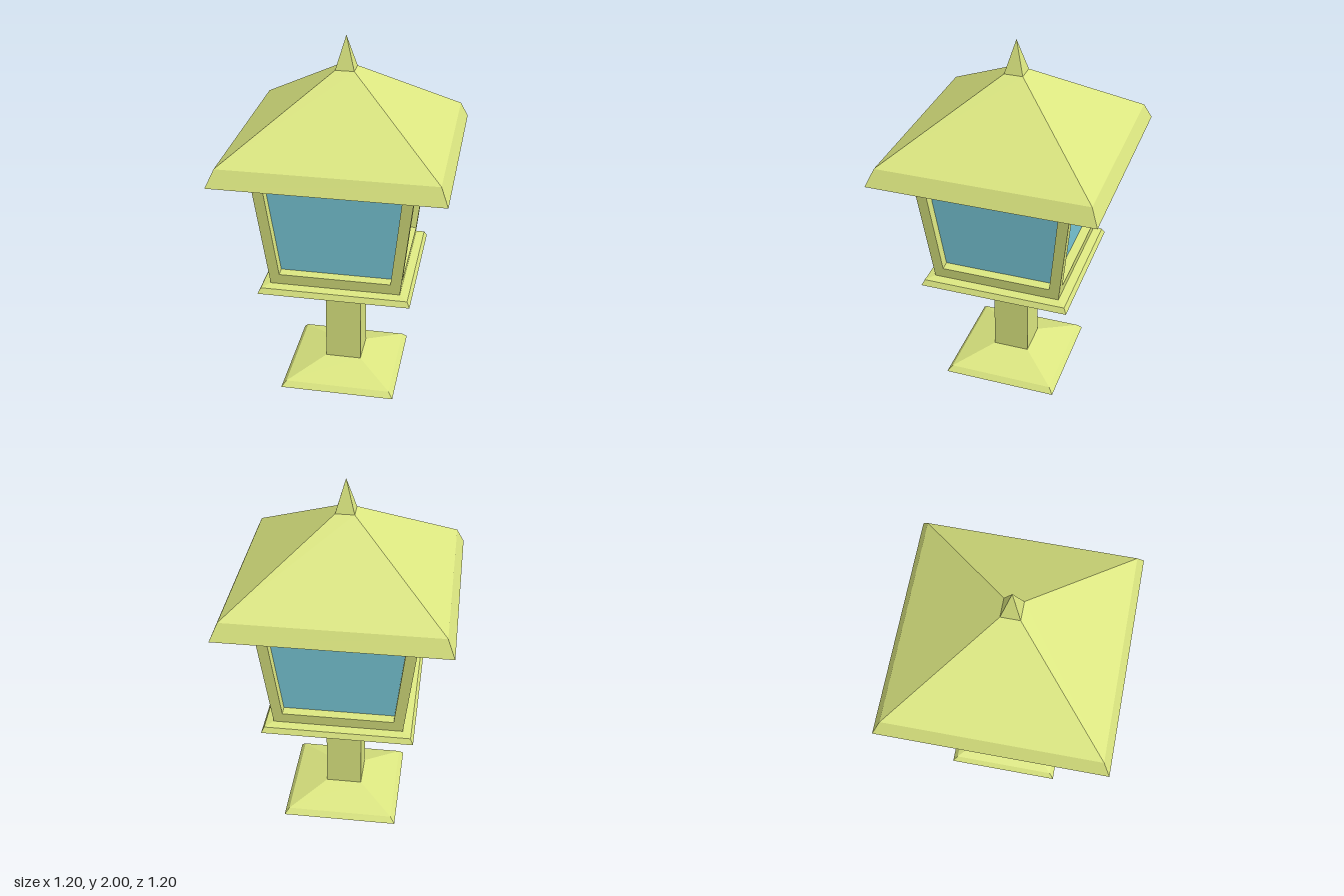
import * as THREE from 'three';

const paint = new THREE.MeshStandardMaterial({ color: 0xdbe680, flatShading: true, side: THREE.DoubleSide });
const blue = new THREE.MeshStandardMaterial({ color: 0x7dd0e0, flatShading: true, side: THREE.DoubleSide });

// Skins a series of four-cornered rings with flat quads
function loft(rings) {
  const pos = [];
  for (let r = 0; r + 1 < rings.length; r++) {
    for (let i = 0; i < 4; i++) {
      const j = (i + 1) % 4;
      const a = rings[r][i], b = rings[r][j], c = rings[r + 1][j], d = rings[r + 1][i];
      pos.push(...a, ...b, ...c, ...a, ...c, ...d);
    }
  }
  const geometry = new THREE.BufferGeometry();
  geometry.setAttribute('position', new THREE.Float32BufferAttribute(pos, 3));
  geometry.computeVertexNormals();
  return geometry;
}

// Horizontal square ring of half-width r at height y
const square = ([r, y]) => [[-r, y, r], [r, y, r], [r, y, -r], [-r, y, -r]];

function part(name, geometry, material = paint) {
  const mesh = new THREE.Mesh(geometry, material);
  mesh.name = name;
  return mesh;
}

const stack = (name, profile) => part(name, loft(profile.map(square)));

// Lantern walls lean outward from the bottom to the top
const BOTTOM = 0.71, TOP = 1.37, R_BOTTOM = 0.35, R_TOP = 0.425;
const LEAN = (R_TOP - R_BOTTOM) / (TOP - BOTTOM);
const DEPTH = 0.05;

// Trapezoid on the leaning front wall, set back along its normal
function wallRing(y0, half0, y1, half1, inset = 0) {
  const point = (x, y) => [x, y + inset * LEAN, R_BOTTOM + (y - BOTTOM) * LEAN - inset];
  return [point(-half0, y0), point(half0, y0), point(half1, y1), point(-half1, y1)];
}

function createWall() {
  const wall = new THREE.Group();
  wall.name = 'lanternWall';
  const opening = [0.77, 0.3, 1.31, 0.36];
  const pane = wallRing(...opening, DEPTH);
  const centre = [0, 1, 2].map((k) => pane.reduce((sum, p) => sum + p[k], 0) / 4);
  wall.add(
    part('windowFrame', loft([wallRing(BOTTOM, R_BOTTOM, TOP, R_TOP), wallRing(...opening), pane])),
    part('windowGlass', loft([pane, [centre, centre, centre, centre]]), blue),
  );
  return wall;
}

export function createModel() {
  const model = new THREE.Group();
  model.name = 'lantern';

  // Hollow foot and post, open underneath
  model.add(stack('foot', [[0.32, 0], [0.295, 0.03], [0.1, 0.1]]));
  model.add(stack('post', [[0.1, 0.1], [0.1, 0.57]]));

  // Flared support with the tray on top
  model.add(stack('support', [[0.1, 0.57], [0.36, 0.67]]));
  model.add(stack('tray', [[0.36, 0.67], [0.41, 0.67], [0.395, 0.7], [0.35, 0.71], [0, 0.71]]));

  // Four glazed walls
  for (let i = 0; i < 4; i++) {
    const wall = createWall();
    wall.rotation.y = (i * Math.PI) / 2;
    model.add(wall);
  }

  // Roof with a bevelled eave, and its pointed finial
  model.add(stack('roof', [[0, 1.37], [0.6, 1.37], [0.56, 1.46], [0.05, 1.825]]));
  model.add(stack('finial', [[0.05, 1.825], [0, 2]]));

  return model;
}
